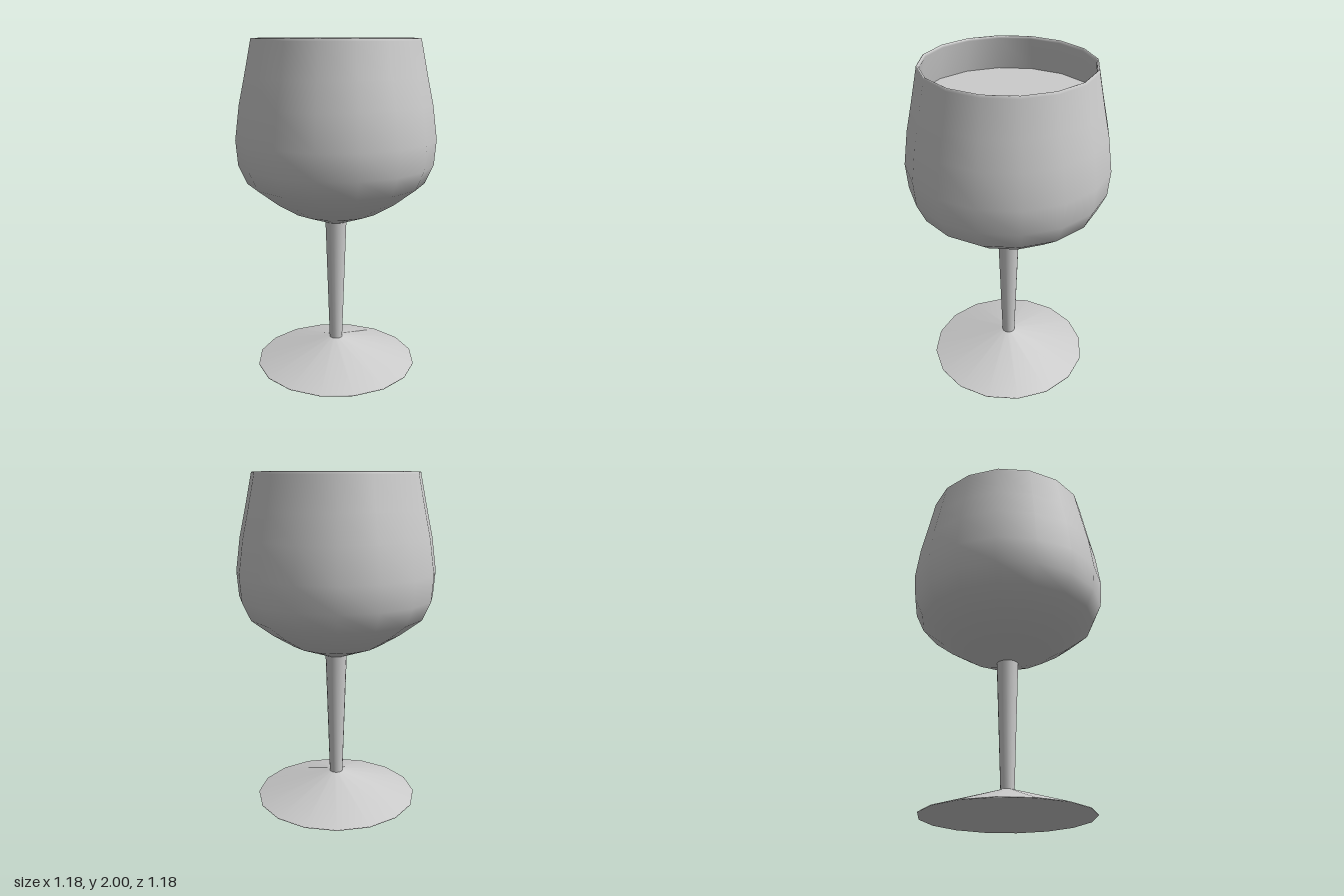
import * as THREE from 'three';

const SIDES = 16;
const material = new THREE.MeshStandardMaterial({ color: 0xcccccc });

// Revolve a profile of [radius, height] pairs, listed from bottom to top on the outside
function lathe(name, profile) {
  const points = profile.map(([r, y]) => new THREE.Vector2(r, y));
  const mesh = new THREE.Mesh(new THREE.LatheGeometry(points, SIDES), material);
  mesh.name = name;
  return mesh;
}

export function createModel() {
  const group = new THREE.Group();
  group.name = 'wineGlass';

  // Flat-bottomed conical foot
  group.add(lathe('foot', [[0, 0], [0.495, 0], [0.495, 0.005], [0.04, 0.15]]));

  // Slender stem, widening towards the bowl
  group.add(lathe('stem', [[0.04, 0.15], [0.065, 0.915]]));

  // Bowl: outer wall up to the rim, then the inner wall back down to the floor
  const outer = [
    [0.065, 0.915], [0.27, 0.99], [0.4, 1.07], [0.53, 1.17], [0.58, 1.28],
    [0.592, 1.43], [0.565, 1.63], [0.53, 1.79], [0.49, 1.985],
  ];
  const rim = [[0.488, 1.997], [0.483, 2], [0.477, 1.997], [0.473, 1.985]];
  const inner = [
    [0.513, 1.79], [0.548, 1.63], [0.574, 1.43], [0.562, 1.28],
    [0.514, 1.18], [0.39, 1.085], [0.26, 1.008], [0, 0.94],
  ];
  group.add(lathe('bowl', [...outer, ...rim, ...inner]));

  // Drink filling the bowl, just inside the inner wall
  const drinkSide = inner.slice(0, -1).reverse().map(([r, y]) => [r - 0.003, y + 0.003]);
  group.add(lathe('drink', [[0, 0.945], ...drinkSide]));

  // Level surface of the drink
  const surface = new THREE.Mesh(new THREE.CircleGeometry(0.511, SIDES), material);
  surface.name = 'drinkSurface';
  surface.rotation.x = -Math.PI / 2;
  surface.position.y = 1.793;
  group.add(surface);

  return group;
}
